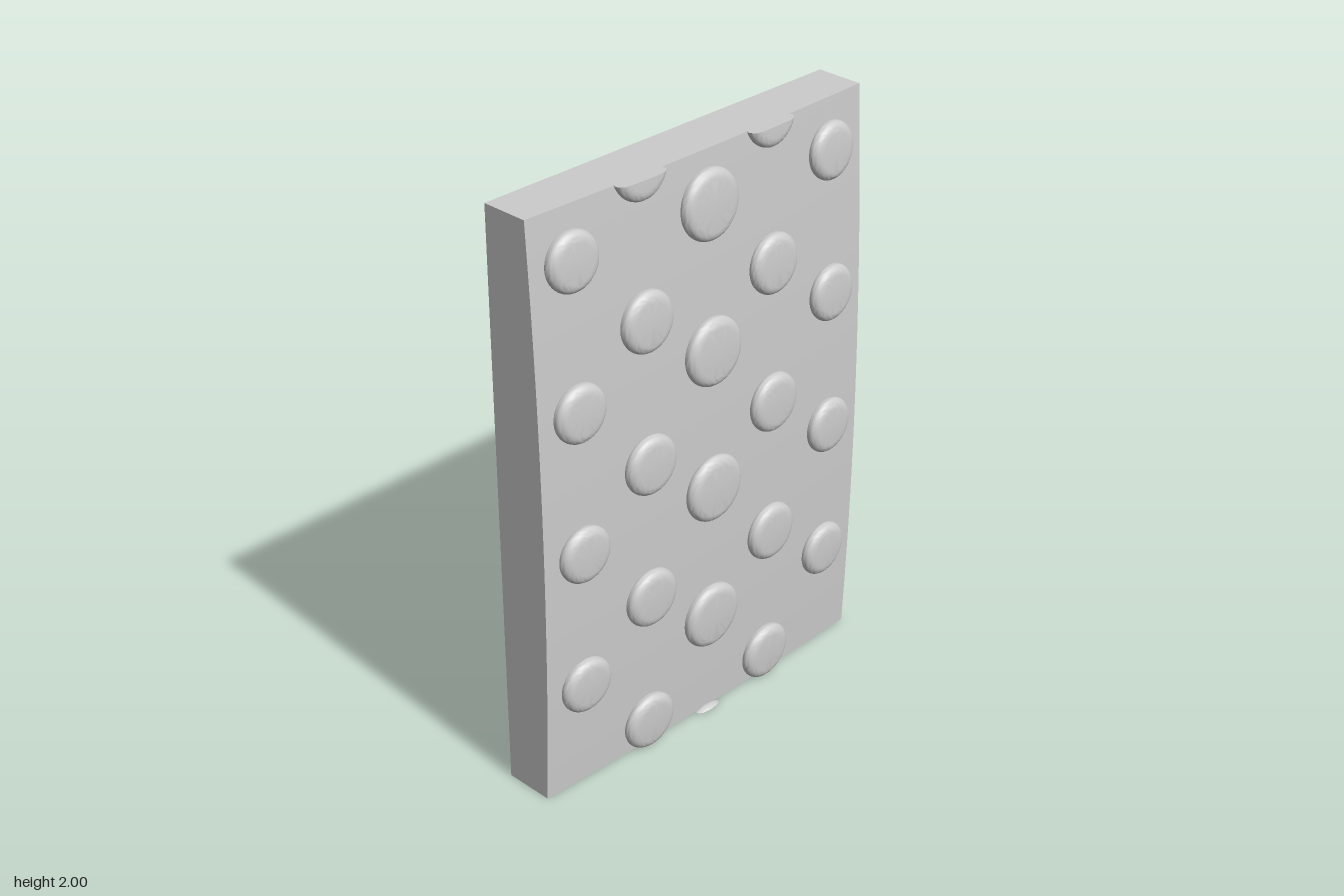
import * as THREE from 'three';
import { mergeVertices, toCreasedNormals } from 'three/addons/utils/BufferGeometryUtils.js';

const HALF_WIDTH = 0.7, HEIGHT = 2, BACK = -0.125;
const material = new THREE.MeshStandardMaterial({ color: 0xcccccc });

// Gently crowned front face of the slab
const frontZ = (x, y) => 0.084 - 0.029 * x * x - 0.028 * (y - 0.93) ** 2;

function finish(geometry, name, crease) {
  geometry.deleteAttribute('uv');
  geometry.deleteAttribute('normal');
  const mesh = new THREE.Mesh(toCreasedNormals(mergeVertices(geometry, 1e-5), crease), material);
  mesh.name = name;
  return mesh;
}

function makeSlab() {
  const geo = new THREE.BoxGeometry(2 * HALF_WIDTH, HEIGHT, 1, 24, 32, 1);
  geo.translate(0, HEIGHT / 2, 0);
  const p = geo.attributes.position;
  for (let i = 0; i < p.count; i++) {
    p.setZ(i, p.getZ(i) > 0 ? frontZ(p.getX(i), p.getY(i)) : BACK);
  }
  return finish(geo, 'slab', 0.6);
}

// Rounded disc following the crowned face, cut flush with the slab's ends
function makeStud(cx, cy, radius) {
  const profile = [new THREE.Vector2(radius - 0.012, -0.02)];
  const round = 0.034;
  for (let i = 0; i <= 8; i++) {
    const a = -0.4 + (i / 8) * (Math.PI / 2 + 0.4);
    profile.push(new THREE.Vector2(radius - round + round * Math.cos(a), 0.009 + 0.026 * Math.sin(a)));
  }
  profile.push(new THREE.Vector2(0, 0.036));

  const geo = new THREE.LatheGeometry(profile, 48);
  geo.rotateX(Math.PI / 2);
  const p = geo.attributes.position;
  for (let i = 0; i < p.count; i++) {
    let x = p.getX(i), y = p.getY(i);
    const r = Math.hypot(x, y);
    const cut = THREE.MathUtils.clamp(y, -cy, HEIGHT - cy);
    if (cut !== y) {
      const halfChord = Math.sqrt(Math.max(0, r * r - cut * cut));
      x = THREE.MathUtils.clamp(x, -halfChord, halfChord);
      y = cut;
    }
    p.setXYZ(i, cx + x, cy + y, frontZ(cx + x, cy + y) + p.getZ(i));
  }
  return finish(geo, 'stud', 0.7);
}

export function createModel() {
  const model = new THREE.Group();
  model.name = 'studdedPanel';
  model.add(makeSlab());

  // Staggered columns: x, radius, first row height, number of rows
  const columns = [
    [0, 0.115, -0.104, 5],
    [0.273, 0.101, 0.095, 5],
    [-0.273, 0.101, 0.095, 5],
    [0.548, 0.096, 0.38, 4],
    [-0.548, 0.096, 0.38, 4],
  ];
  const studs = new THREE.Group();
  studs.name = 'studs';
  for (const [x, radius, first, rows] of columns) {
    for (let i = 0; i < rows; i++) studs.add(makeStud(x, first + i * 0.4835, radius));
  }
  model.add(studs);
  return model;
}
